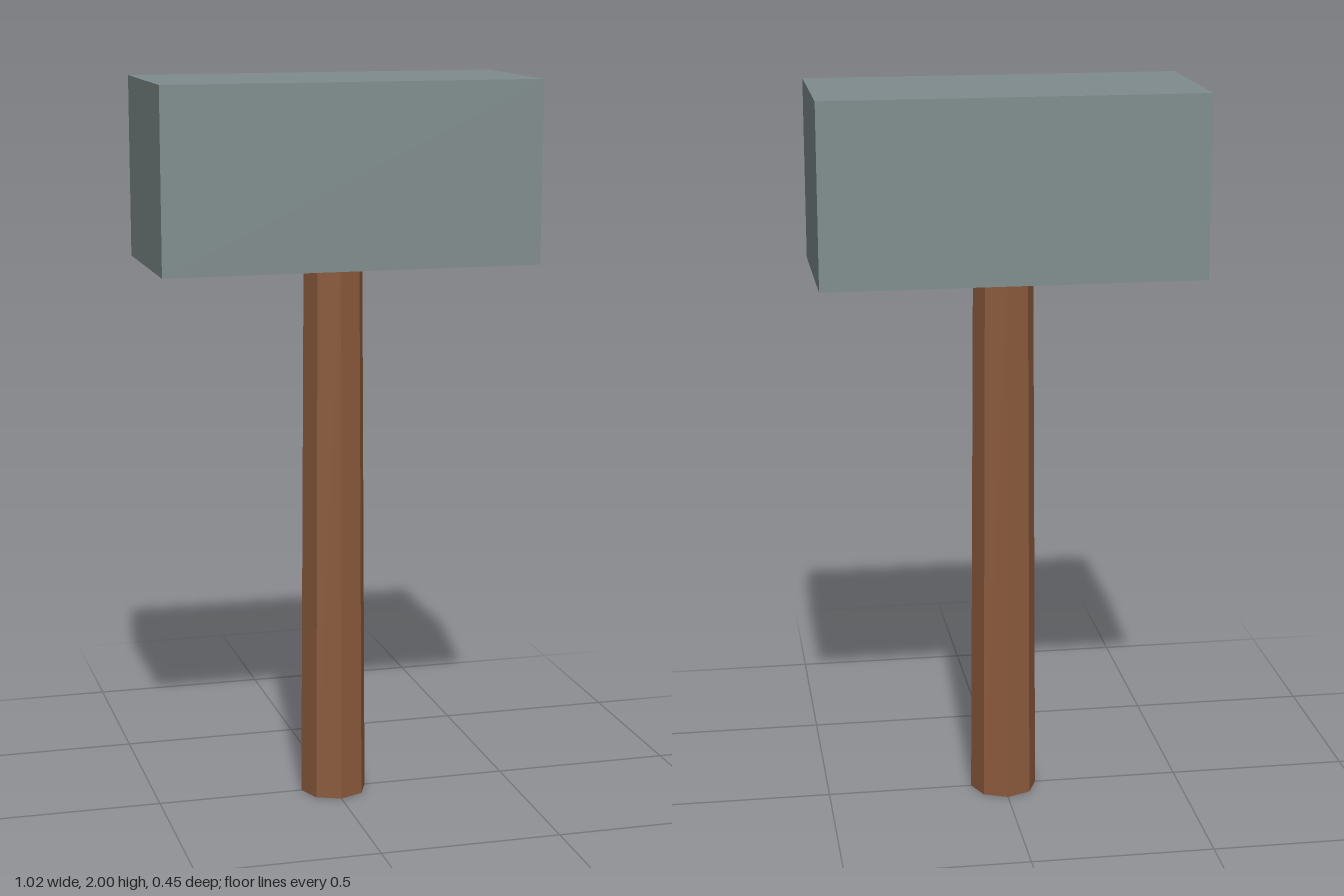
import * as THREE from 'three';

const HEAD = { width: 1.024, height: 0.49, depth: 0.454 };
const TOP = 2;
const EMBED = 0.04; // how far the handle is set into the head

function part(name, geometry, color, y) {
  const material = new THREE.MeshStandardMaterial({ color, flatShading: true });
  const mesh = new THREE.Mesh(geometry, material);
  mesh.name = name;
  mesh.position.y = y;
  return mesh;
}

export function createModel() {
  const model = new THREE.Group();
  model.name = 'mallet';

  // Tapered eight-sided handle, slightly thicker at the foot
  const handleLength = TOP - HEAD.height + EMBED;
  const handle = new THREE.CylinderGeometry(0.082, 0.093, handleLength, 8);
  model.add(part('handle', handle, 0x8b5a3c, handleLength / 2));

  // Block head
  const head = new THREE.BoxGeometry(HEAD.width, HEAD.height, HEAD.depth);
  model.add(part('head', head, 0x7f8c8d, TOP - HEAD.height / 2));

  return model;
}
